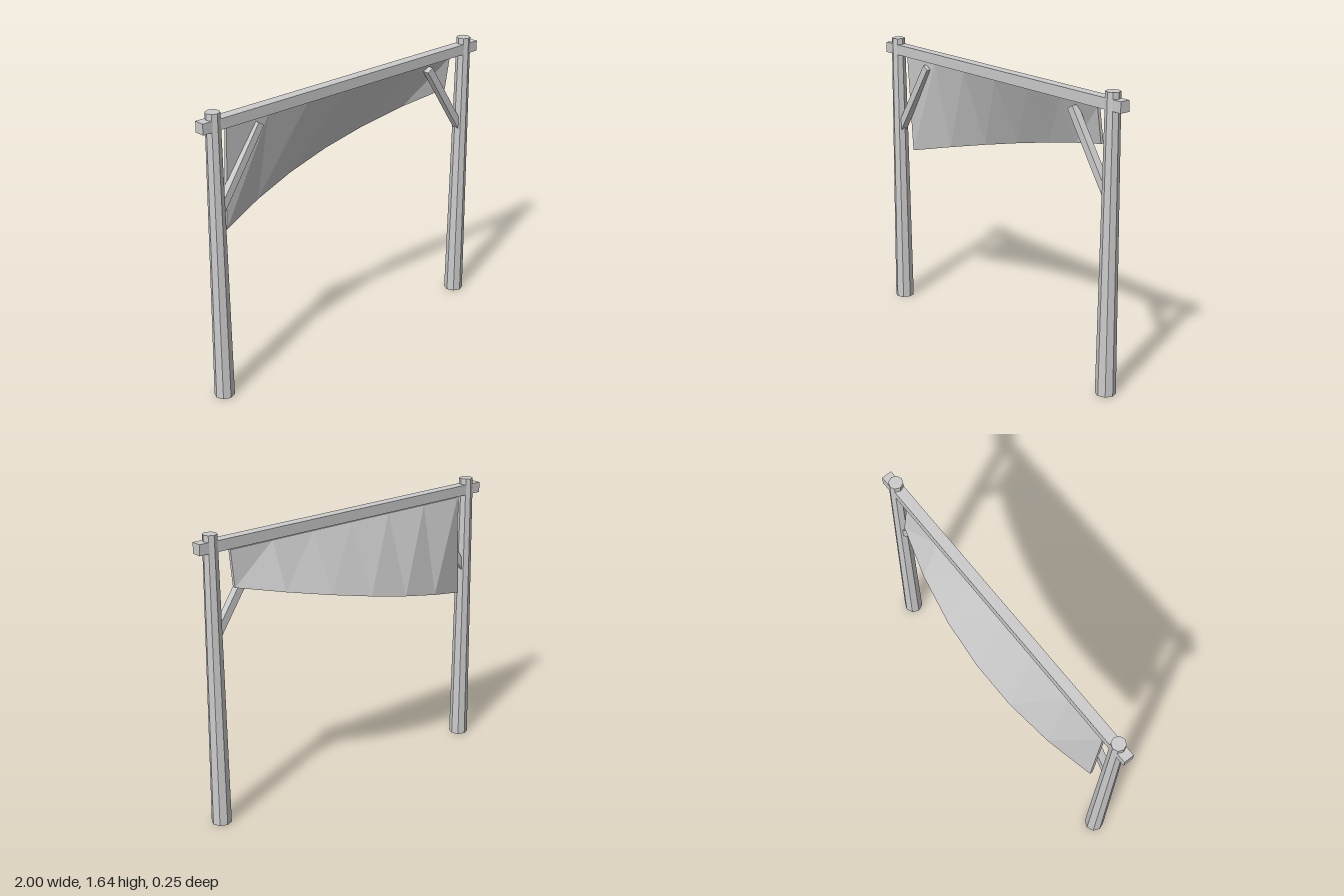
import * as THREE from 'three';

export function createModel() {
  const model = new THREE.Group();
  model.name = 'gateWithAwning';
  const grey = new THREE.MeshStandardMaterial({ color: 0xcccccc, flatShading: true });
  grey.name = 'plain grey';

  const frameZ = 0.065;
  const add = (name, geometry, x, y, z) => {
    const mesh = new THREE.Mesh(geometry, grey);
    mesh.name = name;
    mesh.position.set(x, y, z);
    model.add(mesh);
    return mesh;
  };

  // Tapered eight-sided posts with diagonal braces, mirrored
  for (const [side, s] of [['left', 1], ['right', -1]]) {
    add(side + 'Post', new THREE.CylinderGeometry(0.04, 0.056, 1.645, 8), s * 0.915, 0.8225, frameZ);
    const brace = add(side + 'Brace', new THREE.BoxGeometry(0.042, 0.53, 0.042), s * 0.769, 1.291, frameZ);
    brace.rotation.z = s * 0.585;
  }

  // Crossbeam
  add('crossbeam', new THREE.BoxGeometry(2, 0.06, 0.06), 0, 1.58, frameZ);

  // Cloth: straight top edge, slanting lower edge billowing to the back
  const width = 1.635;
  const cloth = new THREE.BoxGeometry(width, 1, 0.018, 6, 1, 1);
  const p = cloth.attributes.position;
  for (let i = 0; i < p.count; i++) {
    const u = p.getX(i) / (width / 2);
    const x = p.getX(i) - 0.0125;
    if (p.getY(i) > 0) {
      p.setXYZ(i, x, 1.543, 0.055 + p.getZ(i));
    } else {
      const y = THREE.MathUtils.lerp(0.96, 1.345, (u + 1) / 2);
      p.setXYZ(i, x, y, 0.025 - 0.14 * (1 - u * u) + p.getZ(i));
    }
  }
  cloth.computeVertexNormals();
  add('cloth', cloth, 0, 0, 0);

  return model;
}
